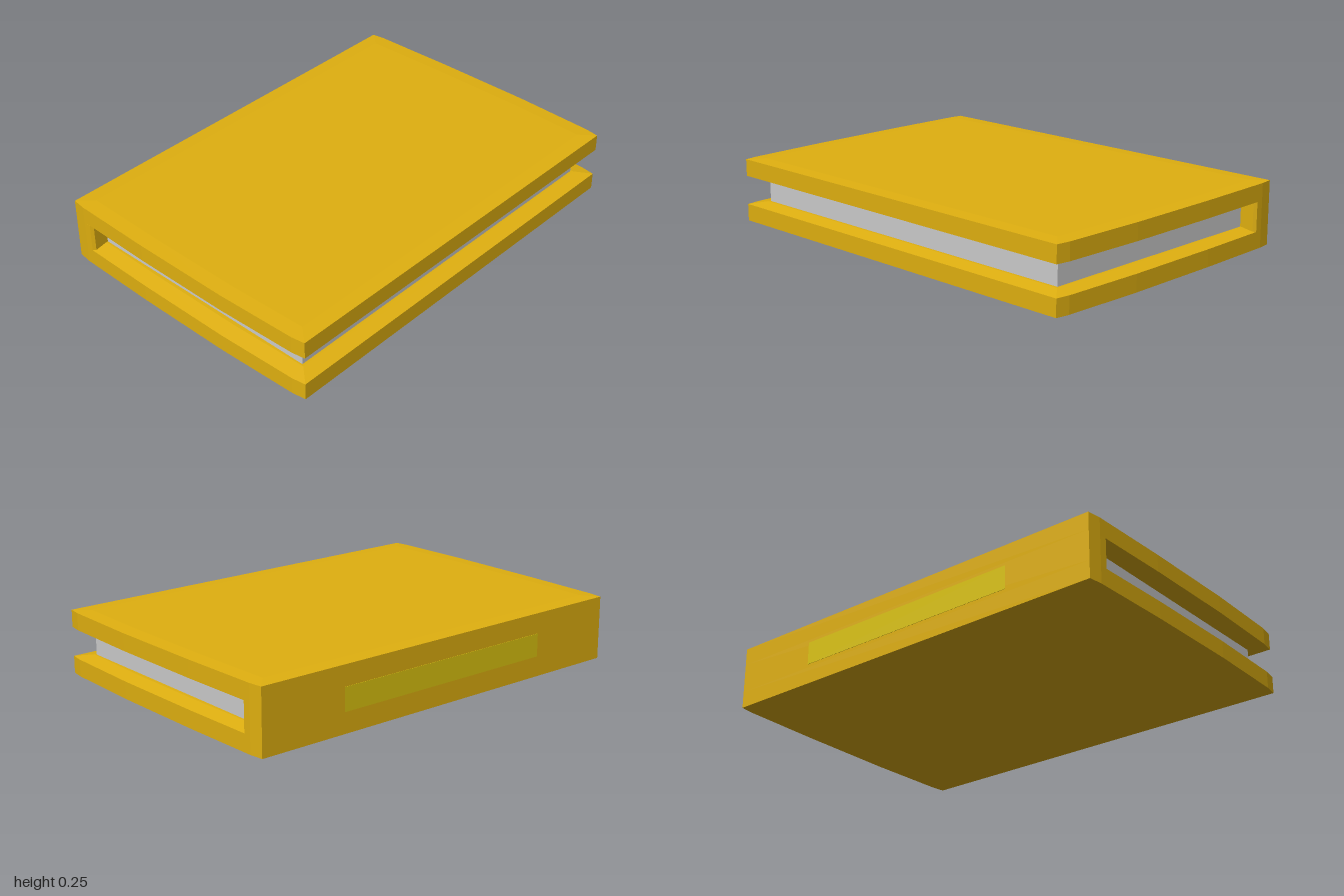
import * as THREE from 'three';

const HEIGHT = 0.255, RIM = 0.07, INNER = 0.08, BEVEL = 0.06;

// Closed shape from the upper half of an outline, mirrored in v
function mirroredShape(half) {
  const pts = [...half.map(([u, v]) => [u, v]), ...[...half].reverse().map(([u, v]) => [u, -v])];
  return new THREE.Shape(pts.map(([u, v]) => new THREE.Vector2(u, v)));
}

// Cover: slightly bowed ends, thin at the rim and thicker inside
function coverGeometry() {
  const shape = mirroredShape([
    [-0.584, 0.828], [-0.53, 0.835], [-0.2, 0.843], [0.2, 0.845], [0.53, 0.836], [0.584, 0.828],
  ]);
  const t = INNER - RIM;
  const geo = new THREE.ExtrudeGeometry(shape, {
    depth: RIM, bevelEnabled: true, bevelSegments: 1,
    bevelSize: BEVEL, bevelOffset: -BEVEL, bevelThickness: t,
  });
  geo.rotateX(-Math.PI / 2);
  // Flatten the outer side to a very shallow bevel
  const pos = geo.attributes.position;
  for (let i = 0; i < pos.count; i++) {
    const y = pos.getY(i);
    if (y < -t / 2) pos.setY(i, 0);
    else if (y < t / 2) pos.setY(i, 0.003);
  }
  geo.computeVertexNormals();
  return geo;
}

export function createModel() {
  const gold = new THREE.MeshStandardMaterial({ color: 0xe0b010 });
  const olive = new THREE.MeshStandardMaterial({ color: 0xdcc410 });
  const paper = new THREE.MeshStandardMaterial({ color: 0xcccccc });
  const model = new THREE.Group();
  model.name = 'book';
  const add = (name, geo, mat, x = 0, y = 0, z = 0) => {
    const mesh = new THREE.Mesh(geo, mat);
    mesh.name = name;
    mesh.position.set(x, y, z);
    model.add(mesh);
    return mesh;
  };

  // Two covers, the upper one turned over
  const cover = coverGeometry();
  add('bottomCover', cover, gold);
  add('topCover', cover, gold, 0, HEIGHT).rotation.x = Math.PI;

  // Spine between the covers
  const spine = new THREE.ExtrudeGeometry(
    mirroredShape([[-0.584, 0.828], [-0.53, 0.835], [-0.5, 0.836], [-0.49, 0.826]]),
    { depth: HEIGHT - 2 * RIM, bevelEnabled: false });
  spine.rotateX(-Math.PI / 2);
  add('spine', spine, gold, 0, RIM);

  // Plain panel set into the spine
  add('spinePanel', new THREE.BoxGeometry(0.01, 0.09, 0.95), olive, -0.5805, HEIGHT / 2, 0);

  // Page block
  add('pages', new THREE.BoxGeometry(1.025, HEIGHT - 2 * INNER + 0.01, 1.54), paper, 0.0025, HEIGHT / 2, 0);

  model.rotation.y = -THREE.MathUtils.degToRad(25.8);
  const root = new THREE.Group();
  root.add(model);
  return root;
}
